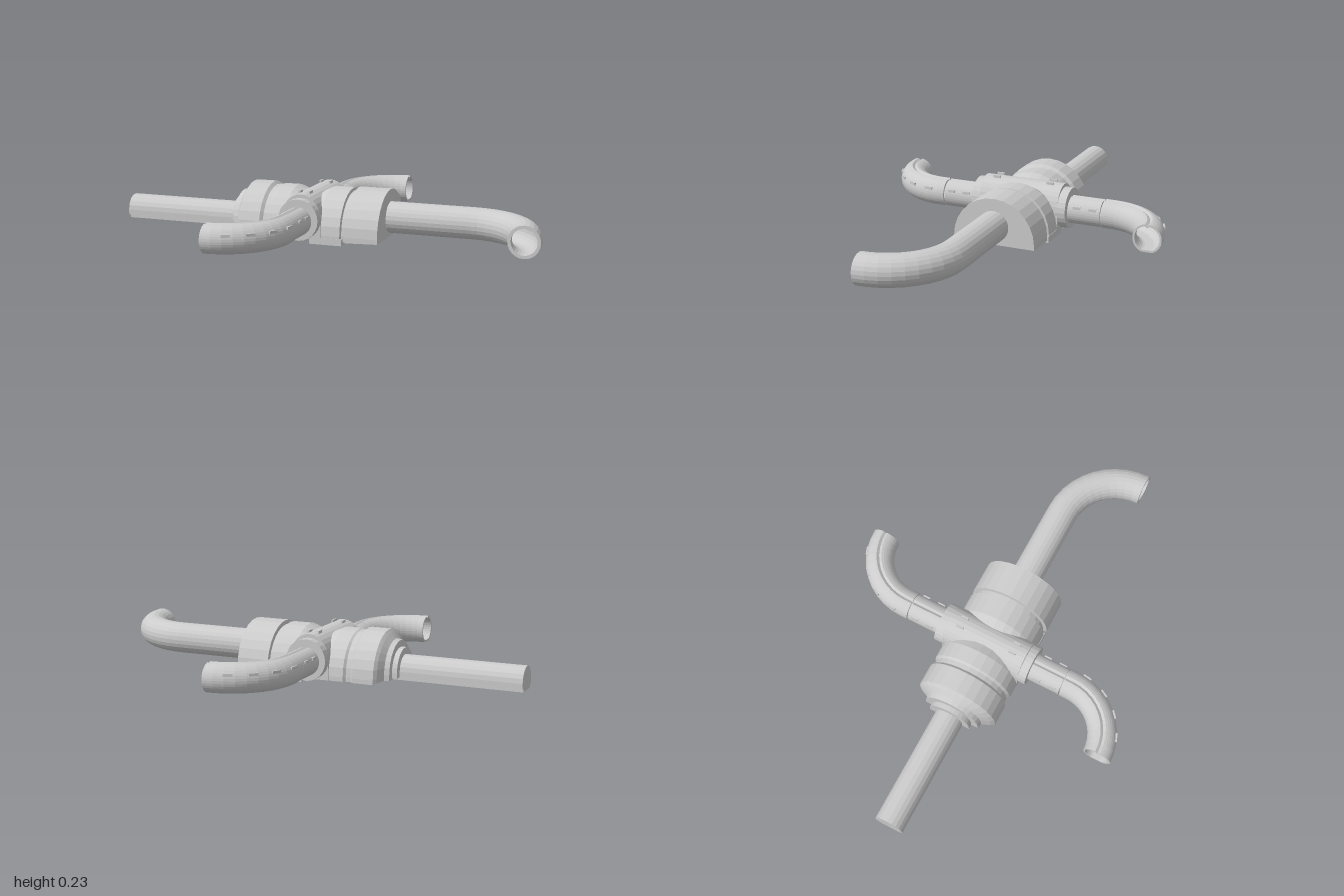
import * as THREE from 'three';

const V = (x, y, z) => new THREE.Vector3(x, y, z);

// Skin a list of closed rings; capStyle 'fan' for solids, 'wall' for hollow profiles
function skin(rings, capStyle) {
  const n = rings[0].length, pos = [];
  const tri = (...p) => p.forEach(v => pos.push(v.x, v.y, v.z));
  for (let k = 0; k < rings.length - 1; k++) {
    const A = rings[k], B = rings[k + 1];
    for (let i = 0; i < n; i++) {
      const j = (i + 1) % n;
      tri(A[i], B[i], A[j]);
      tri(B[i], B[j], A[j]);
    }
  }
  const first = rings[0], last = rings[rings.length - 1];
  if (capStyle === 'fan') {
    for (let i = 1; i < n - 1; i++) {
      tri(first[0], first[i], first[i + 1]);
      tri(last[0], last[i + 1], last[i]);
    }
  } else {
    for (let i = 0; i < n / 2 - 1; i++) {
      const a = i, b = i + 1, c = n - 2 - i, d = n - 1 - i;
      tri(first[a], first[b], first[c]); tri(first[a], first[c], first[d]);
      tri(last[a], last[c], last[b]); tri(last[a], last[d], last[c]);
    }
  }
  const g = new THREE.BufferGeometry();
  g.setAttribute('position', new THREE.Float32BufferAttribute(pos, 3));
  g.computeVertexNormals();
  return g;
}

// Arch-topped, flat-bottomed solid along x; section = [x, halfWidth, top, bottom, spring]
function archLoft(sections, n = 14) {
  return skin(sections.map(([x, w, top, bottom, spring]) => {
    const ring = [];
    for (let i = 0; i <= n; i++) {
      const a = Math.PI * i / n;
      ring.push(V(x, spring + (top - spring) * Math.sin(a), w * Math.cos(a)));
    }
    ring.push(V(x, bottom, -w), V(x, bottom, w));
    return ring;
  }), 'fan');
}

// Frames of a straight run along +x followed by a quarter bend towards +z
function bendPath(x0, x1, r, steps = 10) {
  const path = [{ p: V(x0, 0, 0), side: V(0, 0, 1) }];
  for (let i = 0; i <= steps; i++) {
    const a = Math.PI / 2 * i / steps, s = Math.sin(a), c = Math.cos(a);
    path.push({ p: V(x1 + r * s, 0, r - r * c), side: V(-s, 0, c) });
  }
  return path;
}

// Hollow pipe; profile(angle) gives [side, up] scale offsets for a radius
function pipe(path, outer, inner, n, point) {
  const rings = path.map(({ p, side }) => {
    const at = (i, r) => {
      const [u, v] = point(i, n, r);
      return p.clone().addScaledVector(side, u).add(V(0, v, 0));
    };
    const ring = [];
    for (let i = 0; i <= n; i++) ring.push(at(i, outer));
    for (let i = n; i >= 0; i--) ring.push(at(i, inner));
    return ring;
  });
  return skin(rings, 'wall');
}

const round = (i, n, r) => {
  const a = 2 * Math.PI * i / n;
  return [r * Math.cos(a), r * Math.sin(a)];
};
// Round section with a shallow groove along the top and a small flat underneath
const grooved = (i, n, r) => {
  const a = 2 * Math.PI * i / n;
  const rr = Math.abs(a - Math.PI / 2) < 0.17 ? r - 0.009 : r;
  return [rr * Math.cos(a), Math.max(rr * Math.sin(a), 0.005 - r)];
};

export function createModel() {
  const model = new THREE.Group();
  const mat = new THREE.MeshStandardMaterial({ color: 0xcccccc, flatShading: true, side: THREE.DoubleSide });
  const add = (name, geo, parent = model) => {
    const m = new THREE.Mesh(geo, mat);
    m.name = name;
    parent.add(m);
    return m;
  };
  const box = (name, w, h, d, x, y, z, parent) => {
    const m = add(name, new THREE.BoxGeometry(w, h, d), parent);
    m.position.set(x, y, z);
    return m;
  };

  // Domed housing with stepped collar and two grooves
  add('housing', archLoft([
    [-0.455, 0.098, 0.155, 0.035, 0.06], [-0.432, 0.098, 0.155, 0.035, 0.06],
    [-0.432, 0.13, 0.185, 0.03, 0.055], [-0.41, 0.135, 0.19, 0.03, 0.055],
    [-0.392, 0.175, 0.215, 0.025, 0.045], [-0.38, 0.19, 0.23, 0.02, 0.04],
    [-0.285, 0.19, 0.23, 0.02, 0.04], [-0.272, 0.178, 0.217, 0.02, 0.04],
    [-0.25, 0.178, 0.217, 0.02, 0.04], [-0.24, 0.188, 0.222, 0.02, 0.04],
    [-0.17, 0.188, 0.222, 0.02, 0.04], [-0.13, 0.188, 0.205, 0.02, 0.04],
    [-0.04, 0.188, 0.205, 0.02, 0.04], [0, 0.188, 0.225, 0.015, 0.04],
    [0.095, 0.188, 0.225, 0.015, 0.04], [0.098, 0.173, 0.212, 0.015, 0.04],
    [0.118, 0.173, 0.212, 0.015, 0.04], [0.12, 0.19, 0.23, 0.015, 0.04],
    [0.268, 0.19, 0.23, 0.02, 0.04],
  ]));

  // Crossing saddle
  const saddle = add('crossSaddle', archLoft([
    [-0.19, 0.09, 0.218, 0.02, 0.11], [0.19, 0.09, 0.218, 0.02, 0.11],
  ]));
  saddle.rotation.y = Math.PI / 2;
  saddle.position.x = -0.083;

  // Base feet and raised seam on the saddle
  for (const s of [-1, 1]) box('baseFoot', 0.15, 0.03, 0.06, 0.03, 0.015, s * 0.16);
  for (const x of [-0.106, -0.06]) for (const s of [-1, 1])
    box('saddleTab', 0.008, 0.012, 0.035, x, 0.219, s * 0.13);

  // Flat-bottomed straight pipe
  add('straightPipe', archLoft([
    [-1, 0.065, 0.125, 0.035, 0.06], [-0.44, 0.065, 0.125, 0.035, 0.06],
  ], 10));
  add('straightPipeBase', archLoft([
    [-1, 0.05, 0.04, 0.02, 0.035], [-0.4, 0.05, 0.04, 0.02, 0.035],
  ], 2));

  // Large curved outlet
  add('curvedOutlet', pipe(bendPath(0.25, 0.645, 0.283), 0.07, 0.056, 24, round)).position.y = 0.105;

  // Two identical side pipes, turned half a circle from each other
  for (const back of [false, true]) {
    const side = new THREE.Group();
    side.name = back ? 'backSidePipe' : 'frontSidePipe';
    side.position.set(-0.083, 0.105, 0);
    side.rotation.y = back ? Math.PI / 2 : -Math.PI / 2;
    model.add(side);
    add('groovedPipe', pipe(bendPath(0.385, 0.42, 0.238), 0.065, 0.056, 36, grooved), side);
    add('pipeNeck', pipe([{ p: V(0.18, 0, 0), side: V(0, 0, 1) }, { p: V(0.38, 0, 0), side: V(0, 0, 1) }],
      0.063, 0.054, 36, grooved), side);
    const collar = add('collar', new THREE.CylinderGeometry(0.092, 0.092, 0.045, 24), side);
    collar.rotation.z = Math.PI / 2;
    collar.position.set(0.205, 0.005, 0);
    // Small tabs along the outside of the bend
    for (const x of [0.27, 0.345])
      for (const s of [-1, 1]) box('pipeTab', 0.035, 0.012, 0.008, x, 0.026, s * 0.057, side);
    for (const a of [0.15, 0.5, 0.85, 1.2]) {
      const r = 0.238 + 0.06;
      const tab = box('pipeTab', 0.04, 0.012, 0.008, 0.42 + r * Math.sin(a), 0.026, 0.238 - r * Math.cos(a), side);
      tab.rotation.y = -a;
    }
  }
  return model;
}
